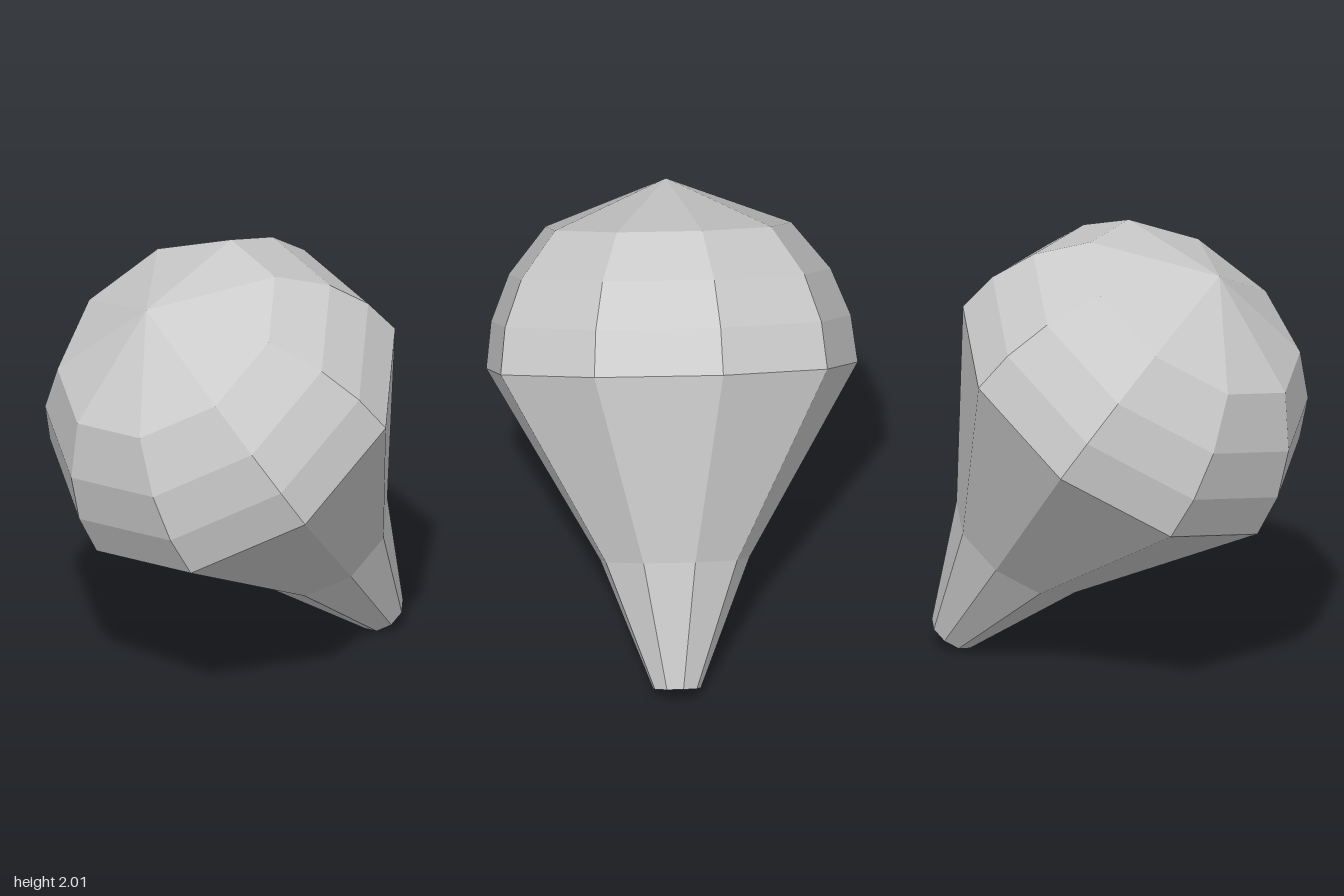
import * as THREE from 'three';

const SIDES = 9;
const R = 0.816; // radius of the rounded head

export function createModel() {
  const group = new THREE.Group();
  group.name = 'taperedBulb';
  const material = new THREE.MeshStandardMaterial({
    color: 0xcccccc, flatShading: true, side: THREE.DoubleSide,
  });

  // Profile from the open tip through the neck to the widest ring
  const profile = [
    new THREE.Vector2(0.105, -1.39),
    new THREE.Vector2(0.328, -0.831),
  ];
  // Domed head: rings evenly spaced in height on a hemisphere
  for (let i = 0; i <= 4; i++) {
    const h = i / 4;
    profile.push(new THREE.Vector2(R * Math.sqrt(1 - h * h), R * h));
  }

  const bulb = new THREE.Mesh(new THREE.LatheGeometry(profile, SIDES), material);
  bulb.name = 'bulbBody';

  // Lean the axis, with one lengthwise edge turned towards the side
  const axis = new THREE.Vector3(-0.539, 0.825, -0.172).normalize();
  const x = new THREE.Vector3().crossVectors(axis, new THREE.Vector3(0.83, 0.55, 0)).normalize();
  const z = new THREE.Vector3().crossVectors(x, axis);
  bulb.quaternion.setFromRotationMatrix(new THREE.Matrix4().makeBasis(x, axis, z));
  bulb.position.set(-0.02, 1.205, 0);

  group.add(bulb);
  return group;
}
